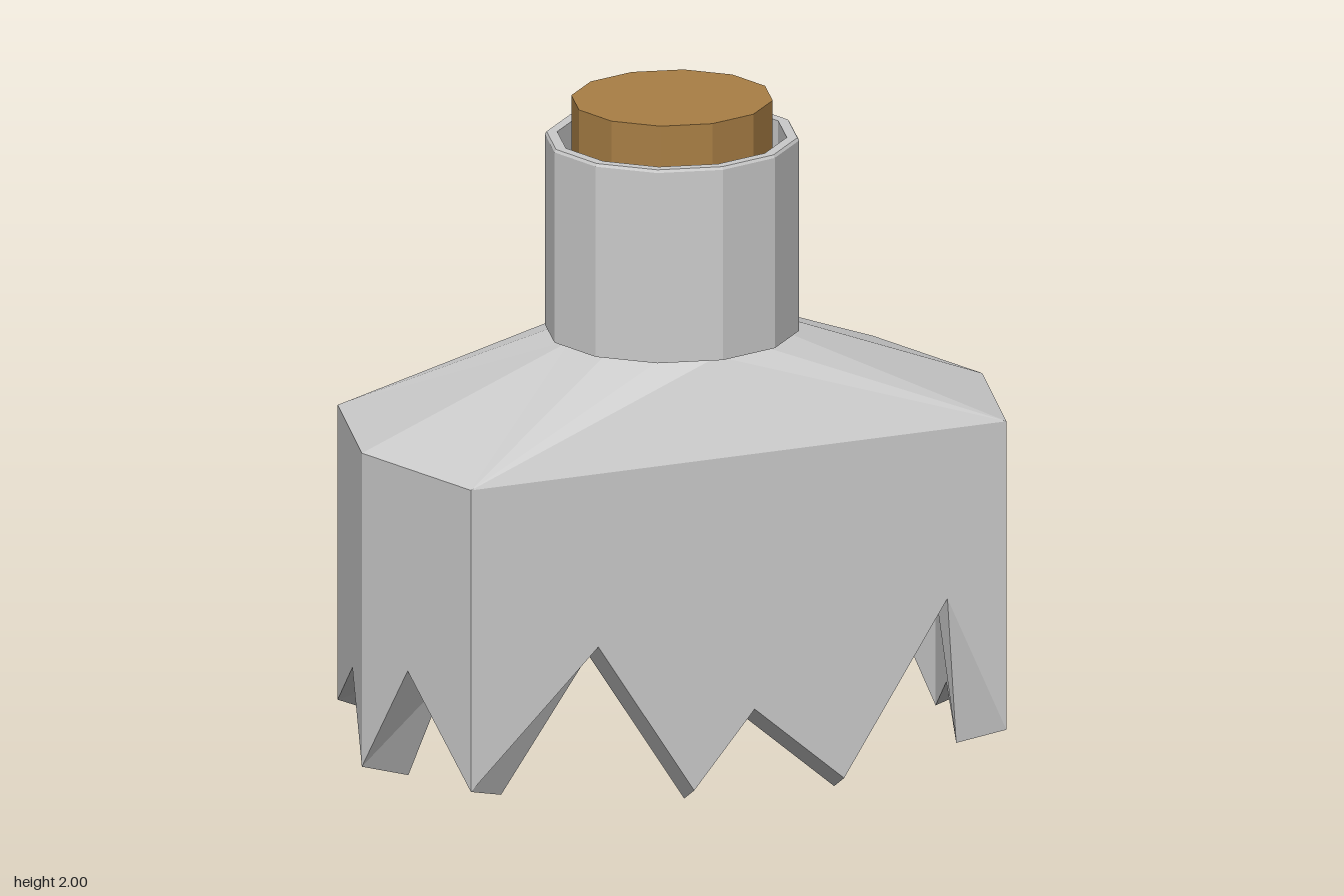
import * as THREE from 'three';

const TOP = 1.08, NECK_BASE = 1.33, SHRINK = 0.85;

// Six-sided body outline, running rightwards as seen from outside
const HEX = [[-0.82, 0.455], [0.82, 0.455], [0.95, 0], [0.82, -0.455], [-0.82, -0.455], [-0.95, 0]];

// Broken edge per body side: [fraction along the side, height]
const BREAKS = [
  [[0, 0.2], [0.238, 0.575], [0.417, 0.12], [0.53, 0.335], [0.697, 0.1], [0.89, 0.585]],
  [[0, 0.18], [0.484, 0.3]],
  [[0, 0.17], [0.637, 0.5]],
  [[0, 0.115], [0.19, 0.23], [0.3, 0.14], [0.493, 0.62], [0.695, 0.042], [0.9, 0.36]],
  [[0, 0.22], [0.61, 0.4]],
  [[0, 0.165], [0.42, 0.49]],
];

// Neck ring points reached by each body corner
const FANS = [[10, 12], [0, 2], [3, 3], [4, 6], [6, 8], [9, 9]];

function mesh(name, geometry, color = 0xcccccc) {
  const m = new THREE.Mesh(geometry, new THREE.MeshStandardMaterial({ color, flatShading: true }));
  m.name = name;
  return m;
}

function facets(polygons) {
  const pos = [];
  for (const p of polygons) {
    for (let i = 1; i < p.length - 1; i++) pos.push(...p[0], ...p[i], ...p[i + 1]);
  }
  const g = new THREE.BufferGeometry();
  g.setAttribute('position', new THREE.Float32BufferAttribute(pos, 3));
  g.computeVertexNormals();
  return g;
}

// Jagged wall with an outer skin, an inner skin and the broken rim between
function wallGeometry() {
  const rim = [];
  BREAKS.forEach((side, i) => {
    const a = HEX[i], b = HEX[(i + 1) % 6];
    for (const [t, y] of side) {
      const x = a[0] + (b[0] - a[0]) * t, z = a[1] + (b[1] - a[1]) * t;
      // Points along the broad sides move straight inwards
      const broad = i % 3 === 0 && t > 0;
      rim.push({ out: [x, y, z], in: [broad ? x : x * SHRINK, y - 0.042, z * SHRINK] });
    }
  });
  const up = (p, y) => [p[0], y, p[2]];
  const polys = [];
  rim.forEach((a, i) => {
    const b = rim[(i + 1) % rim.length];
    polys.push([a.out, b.out, up(b.out, TOP), up(a.out, TOP)]);
    polys.push([b.in, a.in, up(a.in, TOP - 0.05), up(b.in, TOP - 0.05)]);
    polys.push([a.out, a.in, b.in, b.out]);
  });
  return facets(polys);
}

// Sloping skin from the six body corners to the twelve-sided neck ring
function shoulderGeometry(scale, drop, inside) {
  const H = HEX.map(([x, z]) => [x * scale, TOP - drop, z * scale]);
  const R = (k) => {
    const a = (k % 12) * Math.PI / 6, r = 0.31 * scale;
    return [r * Math.sin(a), NECK_BASE - drop, r * Math.cos(a)];
  };
  const tris = [];
  FANS.forEach(([s, e], i) => {
    const j = (i + 1) % 6, n = FANS[j][0];
    for (let k = s; k < e; k++) tris.push([H[i], R(k + 1), R(k)]);
    // Narrow-side corners keep their crease on the broad-side corner
    if (e % 12 === n % 12) tris.push([H[i], H[j], R(n)]);
    else if (s !== e) tris.push([H[i], H[j], R(n)], [H[i], R(n), R(e)]);
    else tris.push([H[i], H[j], R(e)], [H[j], R(n), R(e)]);
  });
  return facets(inside ? tris.map((t) => t.reverse()) : tris);
}

// Twelve-sided turned part, slightly flattened front to back
function turned(profile) {
  const g = new THREE.LatheGeometry(profile.map(([r, y]) => new THREE.Vector2(r, y)), 12);
  return g.scale(1, 1, 0.965);
}

export function createModel() {
  const model = new THREE.Group();
  model.name = 'brokenBottle';

  model.add(mesh('brokenBody', wallGeometry()));
  model.add(mesh('shoulder', shoulderGeometry(1, 0, false)));
  model.add(mesh('shoulderInside', shoulderGeometry(SHRINK, 0.05, true)));

  // Hollow neck with a thin lip
  model.add(mesh('neck', turned([
    [0.26, 1.33], [0.36, 1.33], [0.36, 1.885], [0.355, 1.893], [0.325, 1.893], [0.325, 1.5], [0.26, 1.33],
  ])));

  // Stopper
  model.add(mesh('cork', turned([[0, 1.55], [0.285, 1.55], [0.285, 2], [0, 2]]), 0xa97f45));

  return model;
}
